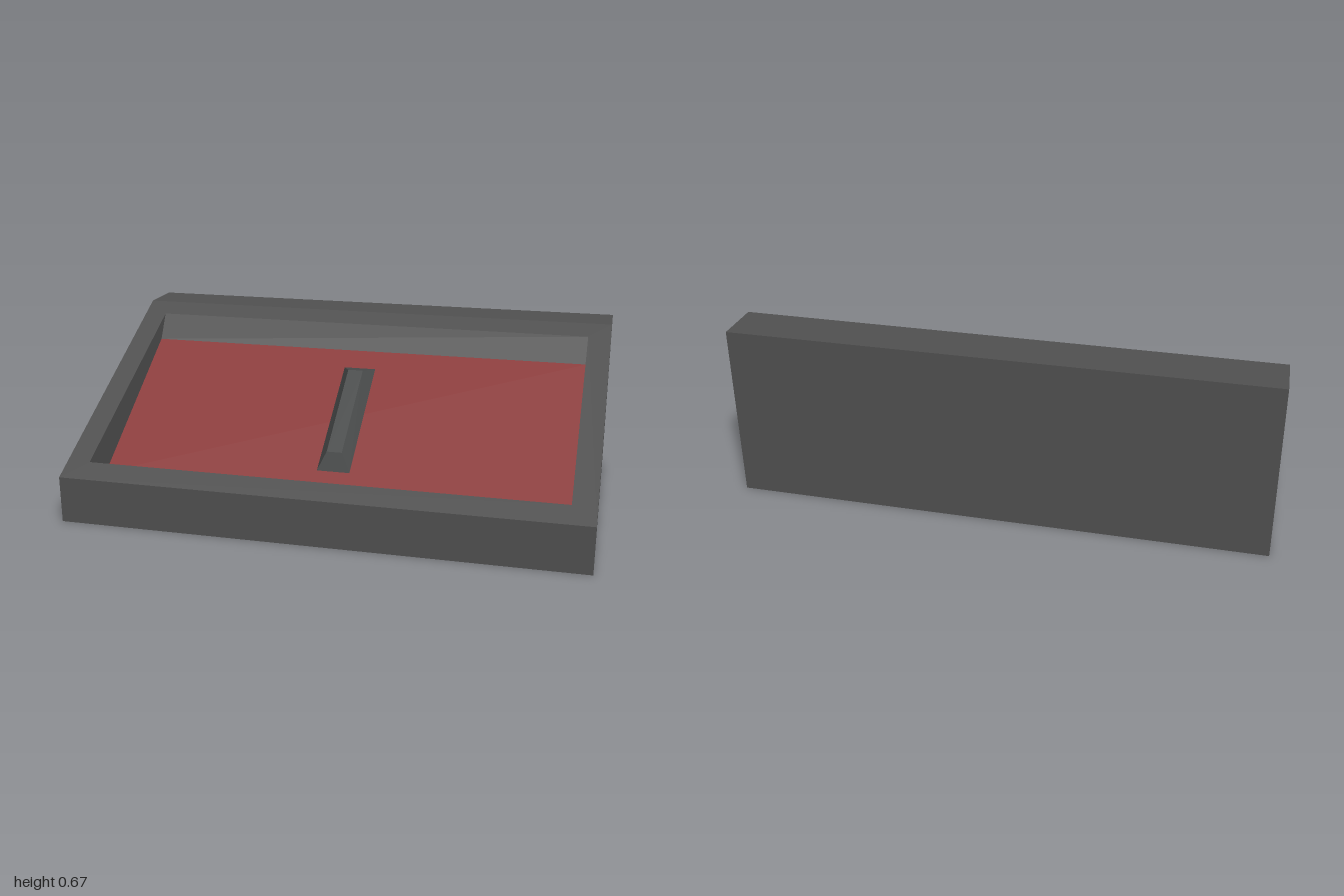
import * as THREE from 'three';

const grey = new THREE.MeshStandardMaterial({ color: 0x505050 });
grey.name = 'dark grey casing';
const handleGrey = new THREE.MeshStandardMaterial({ color: 0x494b4b });
handleGrey.name = 'handle grey';
const red = new THREE.MeshStandardMaterial({ color: 0x8a3a3a });
red.name = 'dull red';

// Flat-faced mesh from convex polygons, corners anticlockwise from outside
function panels(name, polygons, material) {
  const points = [];
  for (const p of polygons) {
    for (let i = 1; i < p.length - 1; i++) points.push(...p[0], ...p[i], ...p[i + 1]);
  }
  const geometry = new THREE.BufferGeometry();
  geometry.setAttribute('position', new THREE.Float32BufferAttribute(points, 3));
  geometry.computeVertexNormals();
  const mesh = new THREE.Mesh(geometry, material);
  mesh.name = name;
  return mesh;
}

// Rectangle across x between a front and a back [z, y] point
const loop = (w, [zf, yf], [zb, yb]) => [[-w, yf, zf], [w, yf, zf], [w, yb, zb], [-w, yb, zb]];

// Four quads joining two such rectangles
const ring = (a, b) => a.map((p, i) => {
  const j = (i + 1) % a.length;
  return [p, a[j], b[j], b[i]];
});

export function createModel() {
  const group = new THREE.Group();
  group.name = 'slopedConsole';

  // Wedge casing: side profile as [z, y]
  const profile = [[0.57, 0], [0.57, 0.18], [-0.385, 0.668], [-0.57, 0.668], [-0.57, 0]];
  const side = (x) => profile.map(([z, y]) => [x, y, z]);
  const casing = [side(-1), side(1).reverse()];
  profile.forEach((p, i) => {
    if (i !== 1) casing.push(loop(1, p, profile[(i + 1) % profile.length]));
  });
  group.add(panels('casing', casing, grey));

  // Sloped rim and the tapering walls of the recess
  const outer = loop(1, profile[1], profile[2]);
  const opening = loop(0.91, [0.49, 0.221], [-0.31, 0.63]);
  const floor = loop(0.91, [0.36, 0.133], [-0.25, 0.53]);
  group.add(panels('rim', ring(outer, opening), grey));
  group.add(panels('recessWalls', ring(opening, floor), grey));
  group.add(panels('recessFloor', [floor], red));

  // Bevelled bar standing on the recess floor
  const base = loop(0.065, [0.28, 0.184], [-0.17, 0.477]);
  const top = loop(0.03, [0.26, 0.258], [-0.09, 0.49]);
  group.add(panels('handle', [...ring(base, top), top], handleGrey));

  return group;
}
